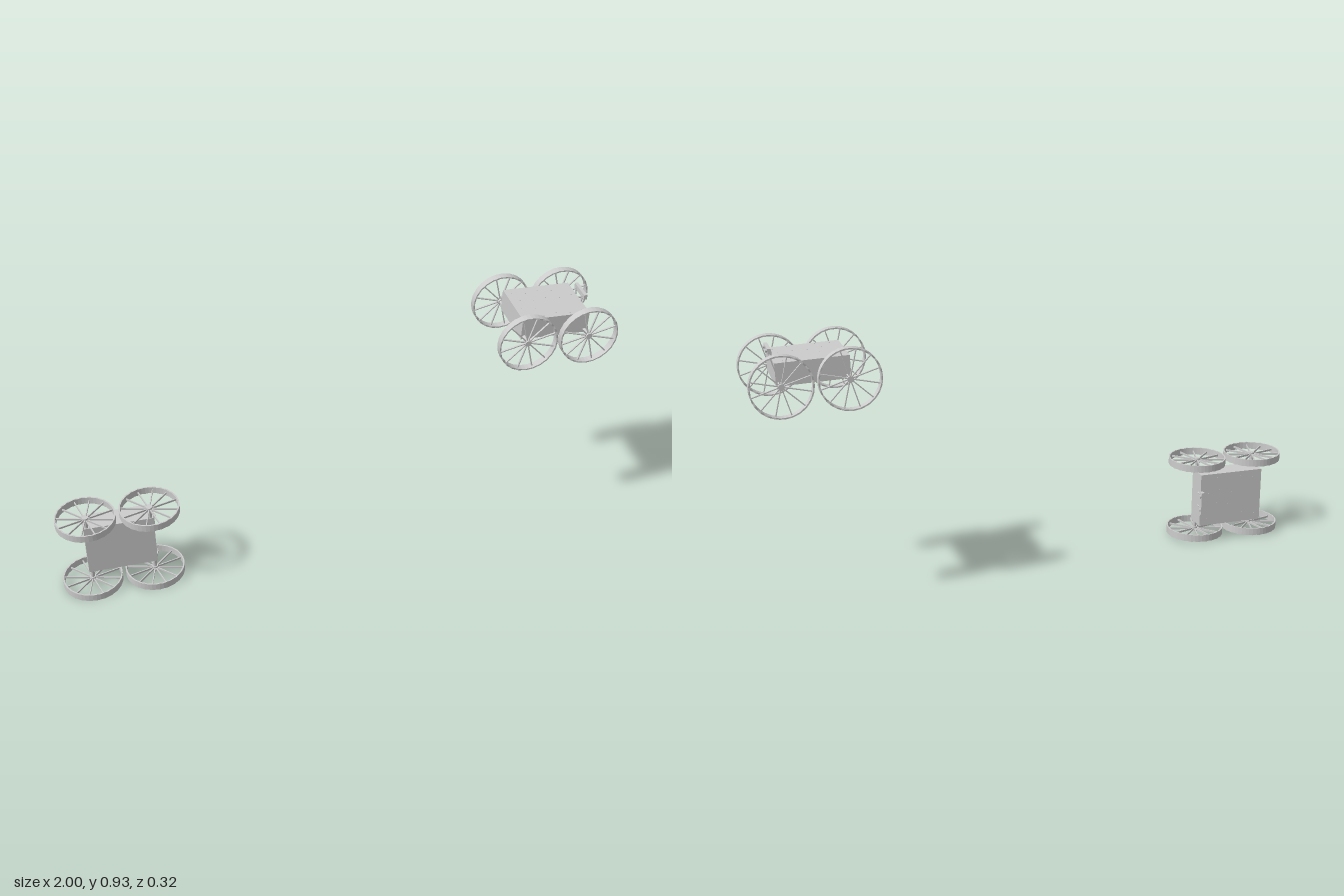
import * as THREE from 'three';

const material = new THREE.MeshStandardMaterial({ color: 0xcccccc, flatShading: true });
const WHEEL_R = 0.106, WHEEL_W = 0.028, SPOKES = 12;

function add(parent, name, geometry, x = 0, y = 0, z = 0) {
  const mesh = new THREE.Mesh(geometry, material);
  mesh.name = name;
  mesh.position.set(x, y, z);
  parent.add(mesh);
  return mesh;
}

// Thin hoop with scalloped side edges, axis along z
function rimGeometry() {
  const r0 = WHEEL_R - 0.005, r1 = WHEEL_R, h = WHEEL_W / 2;
  const profile = [[r1, -h], [r1, h], [r0, h], [r0, -h], [r1, -h]].map(p => new THREE.Vector2(...p));
  const geometry = new THREE.LatheGeometry(profile, 48);
  const pos = geometry.attributes.position;
  for (let i = 0; i < pos.count; i++) {
    const step = Math.floor(i / profile.length);
    if (step % 2) pos.setY(i, pos.getY(i) * 0.88);
  }
  return geometry.rotateX(Math.PI / 2);
}

function makeWheel() {
  const wheel = new THREE.Group();
  wheel.name = 'wheel';
  add(wheel, 'rim', rimGeometry());
  add(wheel, 'hub', new THREE.CylinderGeometry(0.011, 0.011, 0.018, 12).rotateX(Math.PI / 2));
  const length = WHEEL_R - 0.01;
  for (let i = 0; i < SPOKES; i++) {
    const spoke = new THREE.BoxGeometry(length, 0.0035, 0.007).translate(0.006 + length / 2, 0, 0);
    add(wheel, 'spoke', spoke).rotation.z = (i + 0.5) * Math.PI * 2 / SPOKES;
  }
  return wheel;
}

function makeRover() {
  const rover = new THREE.Group();
  rover.name = 'rover';

  // Box chassis
  add(rover, 'chassis', new THREE.BoxGeometry(0.246, 0.078, 0.202), 0, 0.03, 0);

  // Four wheels on short axle stubs
  for (const sx of [-1, 1]) for (const sz of [-1, 1]) {
    const wheel = makeWheel();
    wheel.position.set(sx * 0.112, 0, sz * 0.138);
    rover.add(wheel);
    add(rover, 'axle', new THREE.CylinderGeometry(0.007, 0.007, 0.05, 12).rotateX(Math.PI / 2),
      sx * 0.112, 0, sz * 0.116);
  }

  // Sensor bar carried on two posts at the nose
  add(rover, 'sensorBar', new THREE.BoxGeometry(0.012, 0.018, 0.086), 0.128, 0.094, 0);
  for (const sz of [-1, 1]) {
    add(rover, 'sensorPost', new THREE.CylinderGeometry(0.003, 0.003, 0.05, 8), 0.122, 0.07, sz * 0.026);
    add(rover, 'sensorEye', new THREE.CylinderGeometry(0.006, 0.006, 0.006, 12).rotateZ(Math.PI / 2),
      0.136, 0.094, sz * 0.026);
  }

  // Small studs scattered over the deck
  for (let i = 0; i < 5; i++) for (let j = 0; j < 4; j++) {
    add(rover, 'deckStud', new THREE.CylinderGeometry(0.002, 0.002, 0.002, 6),
      -0.1 + i * 0.048 + (j % 2) * 0.012, 0.069, -0.075 + j * 0.05 + (i % 2) * 0.01);
  }

  // Slight lean of the whole vehicle
  rover.rotation.set(0.04, -0.015, -0.02);
  return rover;
}

export function createModel() {
  const model = new THREE.Group();
  model.name = 'roverPair';

  const upright = new THREE.Group();
  upright.name = 'uprightRover';
  upright.add(makeRover());
  upright.position.set(0.78, 0.819, 0);

  // Second vehicle lies on its side, deck facing the back
  const sideways = new THREE.Group();
  sideways.name = 'sidewaysRover';
  sideways.add(makeRover());
  sideways.rotation.x = -Math.PI / 2;
  sideways.position.set(-0.78, 0.16, 0.037);

  model.add(upright, sideways);
  return model;
}
